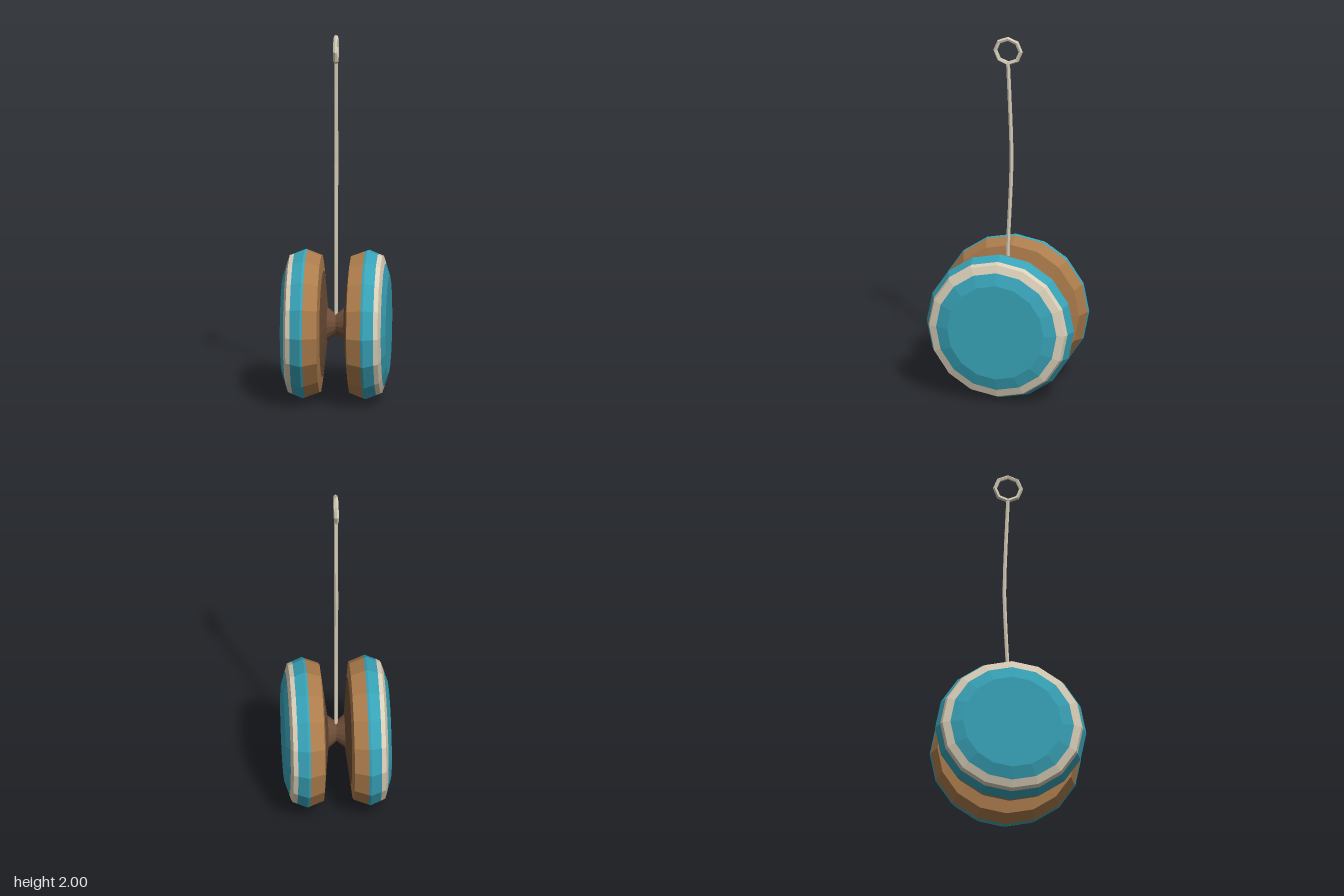
import * as THREE from 'three';

const mat = (name, color) => {
  const m = new THREE.MeshStandardMaterial({ color, flatShading: true });
  m.name = name;
  return m;
};

export function createModel() {
  const teal = mat('teal paint', 0x38a3b8);
  const cream = mat('cream paint', 0xdacfb8);
  const wood = mat('wood', 0xac7c4c);
  const darkWood = mat('dark wood', 0x6f4e37);
  const cord = mat('cord', 0xd4cbb6);

  const model = new THREE.Group();
  model.name = 'yoyo';
  const radius = 0.408;
  const sides = 16;

  // Bands of one half, each a profile of [radius, distance from the middle]
  const bands = [
    ['axleAndInnerFace', darkWood, [[0.054, 0], [0.09, 0.045], [0.29, 0.07]]],
    ['woodRim', wood, [[0.29, 0.07], [0.374, 0.08], [0.403, 0.157]]],
    ['tealRim', teal, [[0.403, 0.157], [radius, 0.169], [0.385, 0.225]]],
    ['creamStripe', cream, [[0.385, 0.225], [0.375, 0.249], [0.333, 0.263]]],
    ['tealCap', teal, [[0.333, 0.263], [0.266, 0.285], [0, 0.285]]],
  ];

  // The two halves are the same turned part, facing opposite ways
  for (const side of [1, -1]) {
    const half = new THREE.Group();
    half.name = side > 0 ? 'leftHalf' : 'rightHalf';
    for (const [name, material, profile] of bands) {
      const points = profile.map(([r, d]) => new THREE.Vector2(r, d));
      const mesh = new THREE.Mesh(new THREE.LatheGeometry(points, sides), material);
      mesh.name = name;
      half.add(mesh);
    }
    half.rotation.z = -side * Math.PI / 2;
    half.position.y = radius;
    model.add(half);
  }

  // Slightly bowed string from the axle up to the finger loop
  const path = new THREE.CatmullRomCurve3([
    [0.45, 0], [0.8, 0], [1.05, -0.011], [1.3, -0.02], [1.55, -0.013], [1.855, 0],
  ].map(([y, z]) => new THREE.Vector3(0, y, z)));
  const string = new THREE.Mesh(new THREE.TubeGeometry(path, 10, 0.011, 6), cord);
  string.name = 'string';
  model.add(string);

  // Finger loop
  const loop = new THREE.Mesh(new THREE.TorusGeometry(0.07, 0.012, 5, 8), cord);
  loop.name = 'fingerLoop';
  loop.rotation.y = Math.PI / 2;
  loop.position.y = 1.918;
  model.add(loop);

  return model;
}
